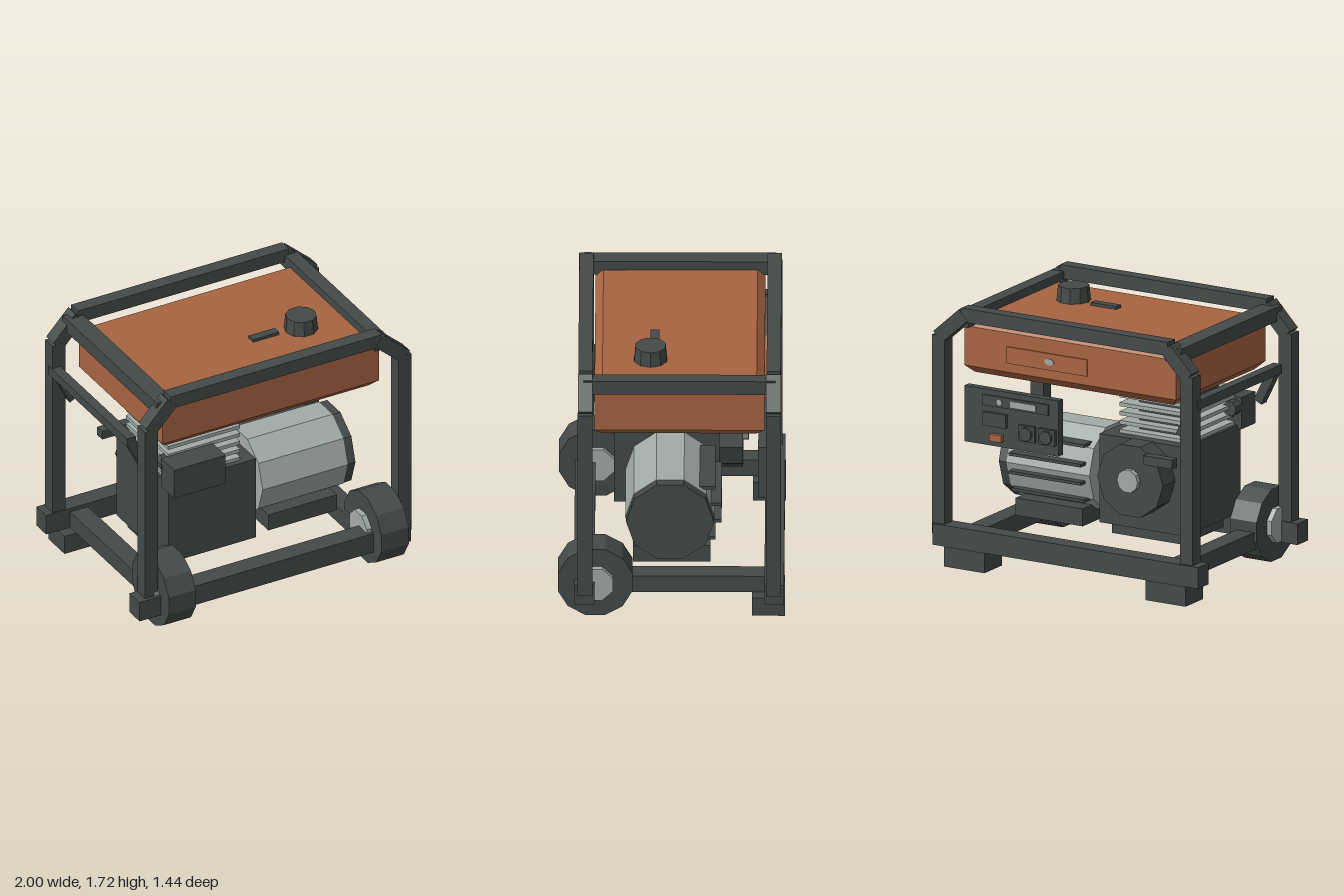
import * as THREE from 'three';

const mat = (name, color) => {
  const m = new THREE.MeshStandardMaterial({ color });
  m.name = name;
  return m;
};

export function createModel() {
  const dark = mat('charcoal', 0x434a49);
  const orange = mat('burnt orange', 0xa86441);
  const grey = mat('light metal', 0xa2aba8);
  const group = new THREE.Group();
  group.name = 'portableGenerator';

  const add = (name, geo, material) => {
    const mesh = new THREE.Mesh(geo, material);
    mesh.name = name;
    group.add(mesh);
    return mesh;
  };
  // Box given by its limits on each axis
  const box = (name, m, x0, x1, y0, y1, z0, z1) =>
    add(name, new THREE.BoxGeometry(x1 - x0, y1 - y0, z1 - z0), m)
      .position.set((x0 + x1) / 2, (y0 + y1) / 2, (z0 + z1) / 2);
  // Faceted drum along an axis, from rA at the low end to rB at the high end
  const drum = (name, m, axis, rA, rB, a, b, u, v, sides, turn = 0) => {
    const geo = new THREE.CylinderGeometry(rB, rA, b - a, sides).toNonIndexed();
    geo.computeVertexNormals();
    geo.rotateY(turn);
    if (axis === 'x') geo.rotateZ(-Math.PI / 2);
    if (axis === 'z') geo.rotateX(Math.PI / 2);
    const c = (a + b) / 2;
    const mesh = add(name, geo, m);
    if (axis === 'x') mesh.position.set(c, u, v);
    else if (axis === 'y') mesh.position.set(u, c, v);
    else mesh.position.set(u, v, c);
  };
  // Square bar in a plane of constant z
  const bar = (name, x0, y0, x1, y1, z, w) => {
    const mesh = add(name, new THREE.BoxGeometry(Math.hypot(x1 - x0, y1 - y0), w, w), dark);
    mesh.position.set((x0 + x1) / 2, (y0 + y1) / 2, z);
    mesh.rotation.z = Math.atan2(y1 - y0, x1 - x0);
  };

  // Base rails and cross rails
  box('frontBaseRail', dark, -1, 0.98, 0.13, 0.27, 0.49, 0.62);
  box('backBaseRail', dark, -1, 0.98, 0.13, 0.27, -0.715, -0.59);
  for (const x of [-0.76, 0.75]) box('baseCrossRail', dark, x - 0.065, x + 0.065, 0.13, 0.245, -0.6, 0.5);

  // Posts, sloping corners and top bars
  for (const z of [0.548, -0.648]) {
    bar('leftPost', 0.95, 0.2, 0.95, 1.51, z, 0.095);
    bar('rightPost', -0.9, 0.2, -0.9, 1.51, z, 0.095);
    bar('leftCorner', 0.955, 1.5, 0.765, 1.67, z, 0.094);
    bar('rightCorner', -0.905, 1.5, -0.745, 1.67, z, 0.094);
    bar('topBar', -0.76, 1.671, 0.78, 1.671, z, 0.09);
  }
  box('rightTopCrossBar', dark, -0.84, -0.72, 1.58, 1.675, -0.66, 0.56);
  box('leftTopCrossBar', dark, 0.75, 0.84, 1.58, 1.675, -0.66, 0.56);

  // Feet and wheels
  box('foot', dark, -0.91, -0.61, 0, 0.13, -0.72, -0.51);
  box('foot', dark, 0.59, 0.89, 0, 0.13, -0.72, -0.51);
  for (const [x0, x1] of [[-0.845, -0.648], [0.705, 0.905]]) {
    drum('wheel', dark, 'x', 0.246, 0.246, x0, x1, 0.25, 0.485, 12, Math.PI / 12);
    drum('wheelHub', grey, 'x', 0.122, 0.122, x0 - 0.035, x1 + 0.035, 0.25, 0.485, 8, Math.PI / 8);
  }

  // Fuel tank with chamfered edges
  const b = 0.05, hx = 0.79, hz = 0.54;
  const s = new THREE.Shape([
    [-hx + b, -hz + b], [hx - b, -hz + b], [hx - b, hz - b], [-hx + b, hz - b],
  ].map(([x, y]) => new THREE.Vector2(x, y)));
  const tank = new THREE.ExtrudeGeometry(s, {
    depth: 0.36 - 2 * b, bevelEnabled: true, bevelSize: b, bevelThickness: b, bevelSegments: 1,
  });
  tank.rotateX(-Math.PI / 2);
  add('fuelTank', tank, orange).position.set(0.03, 1.26 + b, -0.05);
  drum('fuelCap', dark, 'y', 0.11, 0.1, 1.615, 1.72, 0.45, 0.135, 10, Math.PI / 10);
  box('fuelGauge', dark, 0.1, 0.29, 1.61, 1.64, 0.08, 0.137);
  box('tankPlate', orange, -0.1, 0.5, 1.37, 1.48, -0.6, -0.585);
  const badge = add('tankBadge', new THREE.CylinderGeometry(0.035, 0.035, 0.008, 12), grey);
  badge.rotation.x = Math.PI / 2;
  badge.scale.z = 0.6;
  badge.position.set(0.18, 1.425, -0.602);

  // Engine block with finned cylinder
  box('engineBase', dark, -0.6, -0.07, 0.25, 0.34, -0.245, 0.245);
  box('crankcase', dark, -0.65, -0.01, 0.325, 0.91, -0.3, 0.37);
  box('cylinder', dark, -0.525, -0.21, 0.9, 1.18, -0.14, 0.21);
  box('cylinderHead', dark, -0.565, -0.2, 1.165, 1.25, -0.115, 0.24);
  for (let i = 0; i < 5; i++) {
    const y = 0.92 + i * 0.059;
    box('coolingFin', grey, -0.63, -0.105, y - 0.0125, y + 0.0125, -0.215, 0.333);
  }
  box('muffler', dark, -0.68, -0.305, 0.885, 1.095, 0.33, 0.5);
  drum('mufflerOutlet', dark, 'z', 0.05, 0.05, 0.26, 0.34, -0.635, 1.03, 8, Math.PI / 8);

  // Recoil starter
  drum('recoilHousing', dark, 'z', 0.245, 0.245, -0.45, -0.29, -0.33, 0.68, 10, Math.PI / 10);
  drum('recoilHub', grey, 'z', 0.077, 0.077, -0.485, -0.44, -0.33, 0.685, 10, Math.PI / 10);
  box('pullHandle', dark, -0.675, -0.46, 0.82, 0.88, -0.505, -0.44);

  // Alternator
  box('alternatorBase', dark, 0.15, 0.65, 0.26, 0.375, -0.245, 0.245);
  drum('alternatorBody', grey, 'x', 0.287, 0.285, 0.08, 0.7, 0.61, 0.01, 10);
  drum('alternatorEnd', dark, 'x', 0.28, 0.28, 0.69, 0.76, 0.61, 0.01, 10);
  drum('driveShaft', dark, 'x', 0.15, 0.15, -0.02, 0.09, 0.61, 0.01, 10);
  for (const [y, z] of [[0.8, -0.25], [0.68, -0.29], [0.56, -0.29], [0.437, -0.25]])
    box('ventBar', dark, 0.12, 0.66, y - 0.01, y + 0.01, z - 0.027, z + 0.08);

  // Control panel with its fittings
  box('controlPanel', dark, 0.11, 0.81, 0.812, 1.18, -0.605, -0.55);
  box('meterStrip', dark, 0.18, 0.67, 1.075, 1.145, -0.617, -0.6);
  box('meterPlate', grey, 0.27, 0.46, 1.09, 1.13, -0.623, -0.61);
  drum('indicator', grey, 'z', 0.02, 0.02, -0.623, -0.61, 0.54, 1.11, 8);
  box('breaker', dark, 0.49, 0.66, 0.945, 1.035, -0.63, -0.6);
  box('powerSwitch', orange, 0.52, 0.61, 0.85, 0.895, -0.635, -0.6);
  for (const x of [0.335, 0.185]) {
    box('outlet', dark, x - 0.06, x + 0.06, 0.88, 0.985, -0.625, -0.6);
    drum('socket', dark, 'z', 0.045, 0.045, -0.645, -0.62, x, 0.932, 8, Math.PI / 8);
  }

  // Folding carry handle on the side
  box('handleGrip', dark, -0.955, -0.89, 1.285, 1.345, -0.64, 0.375);
  for (const z of [0.345, -0.6]) bar('handleArm', -0.925, 1.32, -0.81, 1.09, z, 0.062);

  return group;
}
